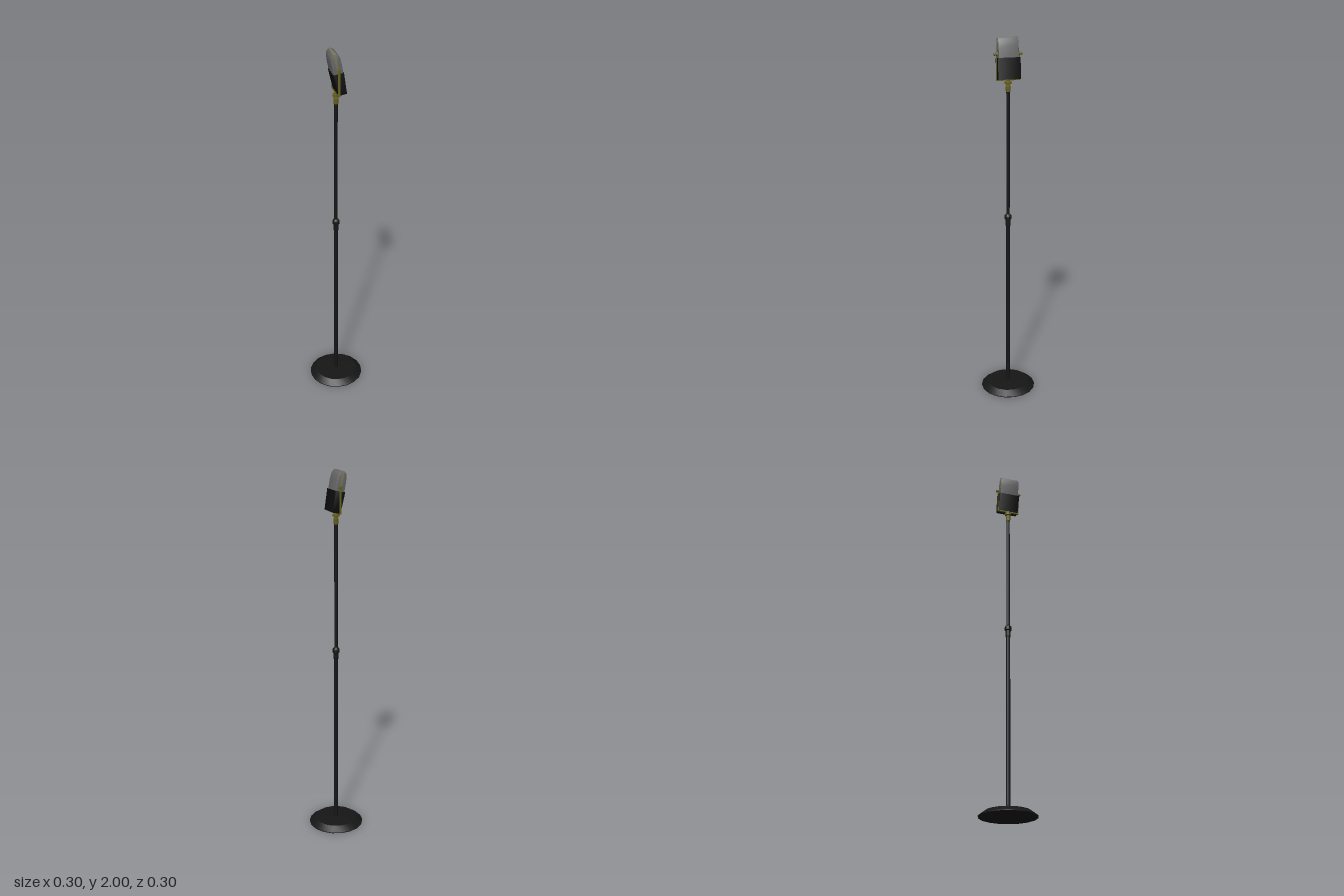
import * as THREE from 'three';
import { toCreasedNormals } from 'three/addons/utils/BufferGeometryUtils.js';

const mat = (color) => new THREE.MeshStandardMaterial({ color });
const black = mat(0x161616);
const shell = mat(0x0e0e0e);
const brass = mat(0x66611f);
const mesh = mat(0x686868);
const trim = mat(0x77745a);

function add(parent, name, geometry, material, x = 0, y = 0, z = 0) {
  const m = new THREE.Mesh(geometry, material);
  m.name = name;
  m.position.set(x, y, z);
  parent.add(m);
  return m;
}

// Turned part from [radius, height] pairs
function turned(points, sides) {
  const g = new THREE.LatheGeometry(points.map(([r, y]) => new THREE.Vector2(r, y)), sides);
  return toCreasedNormals(g, 0.6);
}

// Side profile of [x, y] corners, extruded along z to a total width with bevelled edges
function slab(points, width, bevel) {
  const shape = new THREE.Shape(points.map(([x, y]) => new THREE.Vector2(x, y)));
  const depth = width - 2 * bevel;
  const g = new THREE.ExtrudeGeometry(shape, {
    depth, bevelEnabled: true, bevelThickness: bevel, bevelSize: bevel,
    bevelOffset: -bevel, bevelSegments: 2,
  });
  g.translate(0, 0, -depth / 2);
  return toCreasedNormals(g, 0.6);
}

// Mirror a half profile running from bottom to top
const mirrored = (half) => [...half, ...half.map(([x, y]) => [-x, y]).reverse()];

export function createModel() {
  const model = new THREE.Group();
  model.name = 'microphoneStand';

  // Weighted base with sloping rim
  const base = add(model, 'base',
    turned([[0, 0], [0.152, 0], [0.152, 0.004], [0.118, 0.029], [0, 0.031]], 18), black);
  base.rotation.y = Math.PI / 2;

  // Telescopic pole and its clutch
  add(model, 'lowerPole', new THREE.CylinderGeometry(0.0115, 0.0115, 0.98, 12), black, 0, 0.515);
  add(model, 'upperPole', new THREE.CylinderGeometry(0.0095, 0.0095, 0.74, 12), black, 0, 1.37);
  add(model, 'clutch', turned([
    [0.011, 0.985], [0.014, 0.988], [0.014, 1.022], [0.019, 1.026],
    [0.019, 1.044], [0.014, 1.052], [0.009, 1.056],
  ], 12), black);

  // Threaded swivel under the yoke
  add(model, 'swivel', turned([
    [0, 1.725], [0.012, 1.725], [0.014, 1.755], [0.010, 1.757], [0.010, 1.762],
    [0.018, 1.765], [0.018, 1.777], [0.010, 1.780], [0.010, 1.788], [0, 1.788],
  ], 12), brass);

  // U-shaped yoke with a pivot screw on each arm
  const yoke = new THREE.Group();
  yoke.name = 'yoke';
  model.add(yoke);
  add(yoke, 'yokeBridge', new THREE.BoxGeometry(0.011, 0.006, 0.125), brass, 0, 1.786);
  for (const s of [-1, 1]) {
    add(yoke, 'yokeArm', new THREE.BoxGeometry(0.011, 0.135, 0.005), brass, 0, 1.853, s * 0.06);
    const knob = add(yoke, 'pivotKnob', turned([
      [0, 0], [0.005, 0], [0.005, 0.006], [0.009, 0.007], [0.009, 0.012],
      [0.004, 0.013], [0.004, 0.016], [0.007, 0.017], [0.007, 0.022], [0, 0.024],
    ], 10), brass, 0, 1.918, s * 0.052);
    knob.rotation.x = s * Math.PI / 2;
  }

  // Tilted microphone head
  const head = new THREE.Group();
  head.name = 'head';
  head.position.set(0, 1.895, 0);
  head.rotation.z = 0.19;
  model.add(head);
  add(head, 'housing', slab(mirrored([[0.022, -0.106], [0.027, 0.004]]), 0.12, 0.003), shell);
  add(head, 'grille', slab(mirrored([
    [0.025, -0.01], [0.026, 0.05], [0.024, 0.078], [0.019, 0.096], [0.010, 0.106],
  ]), 0.107, 0.006), mesh);
  add(head, 'grilleBand', slab(mirrored([[0.007, -0.005], [0.007, 0.107]]), 0.109, 0.002), trim);

  return model;
}
